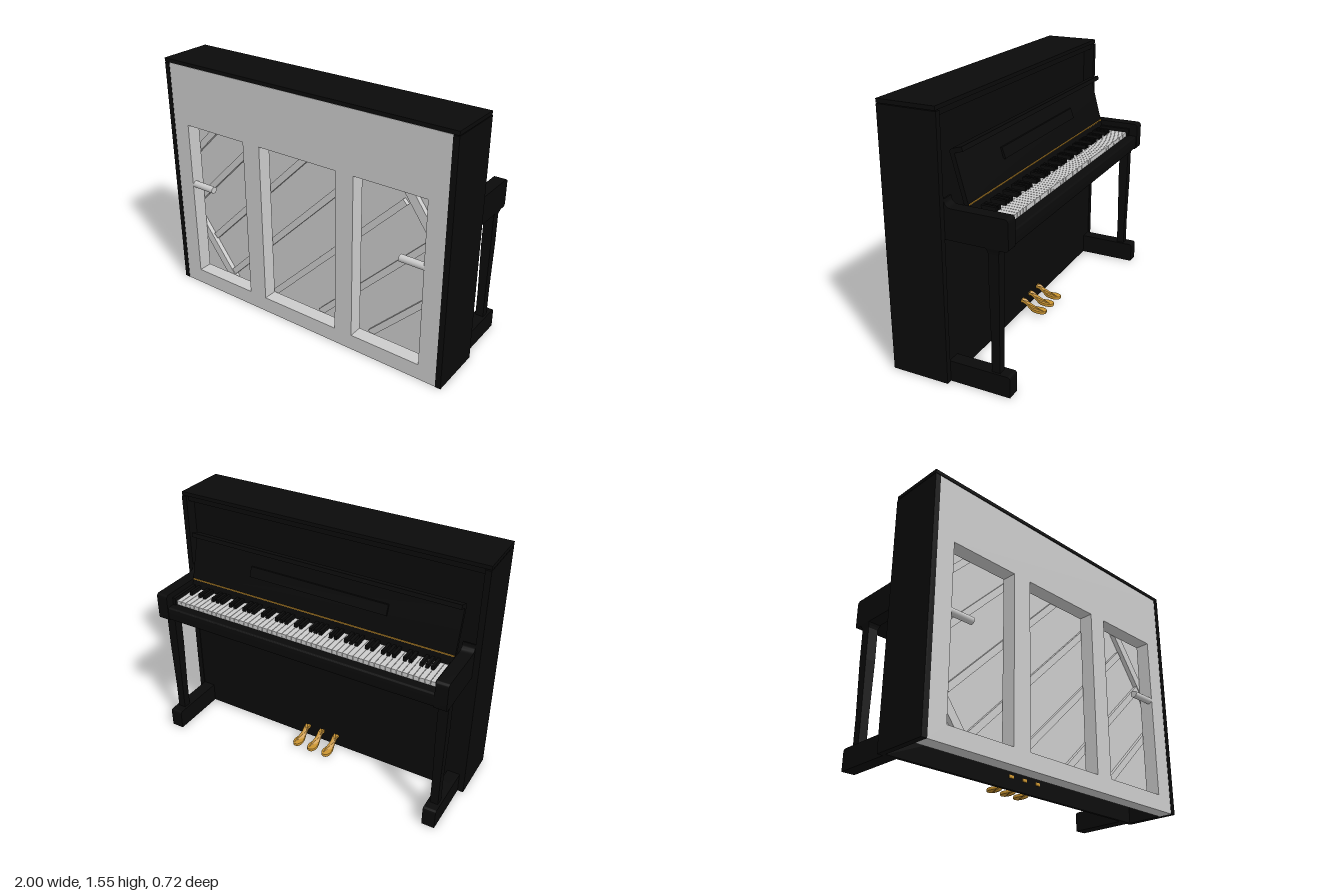
import * as THREE from 'three';
import { toCreasedNormals } from 'three/addons/utils/BufferGeometryUtils.js';

export function createModel() {
  const root = new THREE.Group();
  const black = new THREE.MeshStandardMaterial({ color: 0x0a0a0a });
  const grey = new THREE.MeshStandardMaterial({ color: 0xcccccc });
  const gold = new THREE.MeshStandardMaterial({ color: 0xc8922e });

  const add = (name, geo, mat) => {
    const m = new THREE.Mesh(geo, mat);
    m.name = name;
    root.add(m);
    return m;
  };
  // Box given by its limits on each axis
  const box = (name, mat, x0, x1, y0, y1, z0, z1) => {
    const m = add(name, new THREE.BoxGeometry(x1 - x0, y1 - y0, z1 - z0), mat);
    m.position.set((x0 + x1) / 2, (y0 + y1) / 2, (z0 + z1) / 2);
    return m;
  };
  // Side profile drawn in (-z, y), extruded from x0 to x1
  const sideExtrude = (name, mat, shape, x0, x1) => {
    let g = new THREE.ExtrudeGeometry(shape, { depth: x1 - x0, bevelEnabled: false, curveSegments: 8 });
    g.rotateY(Math.PI / 2);
    g.translate(x0, 0, 0);
    return add(name, toCreasedNormals(g, 0.6), mat);
  };

  // Case
  for (const s of [-1, 1]) {
    const a = s * 0.965, b = s;
    box('sidePanel', black, Math.min(a, b), Math.max(a, b), 0, 1.523, 0.01, 0.36);
  }
  box('lid', black, -1, 1, 1.527, 1.55, 0.015, 0.36);
  box('topRail', black, -0.965, 0.965, 1.49, 1.527, 0.03, 0.27);
  box('upperPanel', black, -0.965, 0.965, 0.86, 1.5, 0.08, 0.1);
  box('lowerPanel', black, -0.965, 0.965, 0, 0.86, 0.015, 0.035);

  // Back frame with three openings
  const frame = new THREE.Shape();
  const rect = (p, x0, x1, y0, y1) =>
    p.moveTo(x0, y0).lineTo(x1, y0).lineTo(x1, y1).lineTo(x0, y1).closePath();
  rect(frame, -0.965, 0.965, 0, 1.525);
  for (const [x0, x1] of [[-0.85, -0.4], [-0.275, 0.27], [0.39, 0.85]]) {
    const hole = new THREE.Path();
    rect(hole, x0, x1, 0.1, 1.145);
    frame.holes.push(hole);
  }
  const frameGeo = new THREE.ExtrudeGeometry(frame, { depth: 0.09, bevelEnabled: false });
  frameGeo.translate(0, 0, 0.268);
  add('backFrame', frameGeo, grey);
  box('soundboard', grey, -0.965, 0.965, 0.04, 1.45, 0.22, 0.235);

  // Diagonal ribs and corner bars on the soundboard
  const bar = (name, xa, ya, xb, yb, width, depth) => {
    const len = Math.hypot(xb - xa, yb - ya);
    const m = add(name, new THREE.BoxGeometry(len, width, depth), grey);
    m.position.set((xa + xb) / 2, (ya + yb) / 2, 0.235 + depth / 2);
    m.rotation.z = Math.atan2(yb - ya, xb - xa);
  };
  const ribs = [[1.83, -0.95, -0.6], [1.49, -0.95, -0.25], [1.12, -0.78, 0.13],
    [0.75, -0.66, 0.5], [0.37, -0.28, 0.66], [0, 0.09, 0.95], [-0.37, 0.46, 0.95]];
  for (const [c, x0, x1] of ribs) bar('soundboardRib', x0, c + x0, x1, c + x1, 0.04, 0.025);
  bar('cornerBar', -0.92, 0.45, -0.63, 0.06, 0.055, 0.03);
  bar('cornerBar', 0.6, 1.22, 0.92, 0.77, 0.055, 0.03);

  // Carrying handles
  for (const s of [-1, 1]) {
    const g = new THREE.CylinderGeometry(0.022, 0.022, 0.16, 24);
    g.rotateZ(Math.PI / 2);
    add('handle', g, grey).position.set(s * 0.77, 0.735, 0.335);
  }

  // Key arms, legs and feet, mirrored
  const arm = new THREE.Shape();
  arm.moveTo(-0.02, 0.845).lineTo(0.335, 0.845).quadraticCurveTo(0.355, 0.845, 0.355, 0.865)
    .lineTo(0.355, 0.995).quadraticCurveTo(0.355, 1.02, 0.33, 1.02)
    .lineTo(0.035, 1.02).quadraticCurveTo(-0.01, 1.02, -0.01, 1.065).lineTo(-0.02, 1.065).closePath();
  const foot = new THREE.Shape();
  foot.moveTo(-0.02, 0).lineTo(0.355, 0).lineTo(0.355, 0.108)
    .quadraticCurveTo(0.355, 0.125, 0.338, 0.125).lineTo(-0.02, 0.125).closePath();
  const legProfile = [[0.025, 0.12], [0.025, 0.3], [0.03, 0.62], [0.03, 0.815], [0.034, 0.83], [0.04, 0.848]]
    .map(([r, y]) => new THREE.Vector2(r * Math.SQRT2, y));
  const legMat = black.clone();
  legMat.flatShading = true;
  for (const s of [-1, 1]) {
    const span = (a, b) => (s > 0 ? [a, b] : [-b, -a]);
    sideExtrude('keyArm', black, arm, ...span(0.89, 0.965));
    sideExtrude('foot', black, foot, ...span(0.885, 0.965));
    const leg = new THREE.LatheGeometry(legProfile, 4, Math.PI / 4);
    add('frontLeg', leg, legMat).position.set(s * 0.926, 0, -0.265);
    box('cheekBlock', black, ...span(0.87, 0.89), 0.9, 0.985, -0.3, 0.01);
  }

  // Keybed and key slip
  box('keybed', black, -0.89, 0.89, 0.85, 0.92, -0.34, 0.09);
  const slip = new THREE.Shape();
  slip.moveTo(0.288, 0.85).lineTo(0.335, 0.85).quadraticCurveTo(0.35, 0.85, 0.35, 0.865)
    .lineTo(0.35, 0.92).quadraticCurveTo(0.35, 0.937, 0.333, 0.937).lineTo(0.288, 0.937).closePath();
  sideExtrude('keySlip', black, slip, -0.89, 0.89);

  // 52 white keys from the lowest at +x, black keys in groups of two and three
  const pitch = 1.74 / 52;
  const whiteGeo = new THREE.BoxGeometry(pitch - 0.003, 0.04, 0.205);
  const blackGeo = new THREE.BoxGeometry(0.019, 0.03, 0.11);
  for (let i = 0; i < 52; i++) {
    const x = 0.87 - (i + 0.5) * pitch;
    add('whiteKey', whiteGeo, grey).position.set(x, 0.942, -0.183);
    if (i < 51 && [0, 2, 3, 5, 6].includes(i % 7))
      add('blackKey', blackGeo, black).position.set(x - pitch / 2, 0.972, -0.13);
  }

  // Open fallboard with folded lip, music ledge and gold strip
  const fall = new THREE.Shape();
  fall.moveTo(0.065, 0.965).lineTo(0.1, 0.965).lineTo(0.088, 1.025).lineTo(0.016, 1.287)
    .lineTo(0.065, 1.302).lineTo(0.058, 1.327).lineTo(0.005, 1.312)
    .quadraticCurveTo(-0.014, 1.306, -0.012, 1.29).lineTo(0.062, 1.025).closePath();
  sideExtrude('fallboard', black, fall, -0.889, 0.889);
  const ledge = new THREE.Shape();
  ledge.moveTo(0.038, 1.2).lineTo(0.05, 1.2).lineTo(0.072, 1.14).lineTo(0.064, 1.135).lineTo(0.05, 1.15).closePath();
  sideExtrude('musicLedge', black, ledge, -0.46, 0.46);
  box('goldStrip', gold, -0.885, 0.885, 1.02, 1.026, -0.094, -0.085);

  // Pedals: plan outline, narrow neck to round tip, bent downwards along its length
  const plan = new THREE.Shape();
  plan.moveTo(-0.014, -0.03);
  plan.splineThru([[-0.013, 0.02], [-0.014, 0.05], [-0.022, 0.085], [-0.027, 0.12], [-0.018, 0.148], [0, 0.157],
    [0.018, 0.148], [0.027, 0.12], [0.022, 0.085], [0.014, 0.05], [0.013, 0.02], [0.014, -0.03]]
    .map(([x, y]) => new THREE.Vector2(x, y)));
  plan.closePath();
  const pedal = new THREE.ExtrudeGeometry(plan, {
    depth: 0.012, curveSegments: 36, bevelThickness: 0.004, bevelSize: 0.004, bevelSegments: 2 });
  pedal.rotateX(-Math.PI / 2);
  const pos = pedal.attributes.position;
  for (let i = 0; i < pos.count; i++) {
    const t = THREE.MathUtils.smoothstep(-pos.getZ(i), 0, 0.08);
    pos.setY(i, pos.getY(i) + 0.07 - 0.045 * t);
  }
  const pedalGeo = toCreasedNormals(pedal, 0.7);
  for (const x of [-0.107, 0, 0.107]) add('pedal', pedalGeo, gold).position.set(x, 0, 0.005);

  return root;
}
